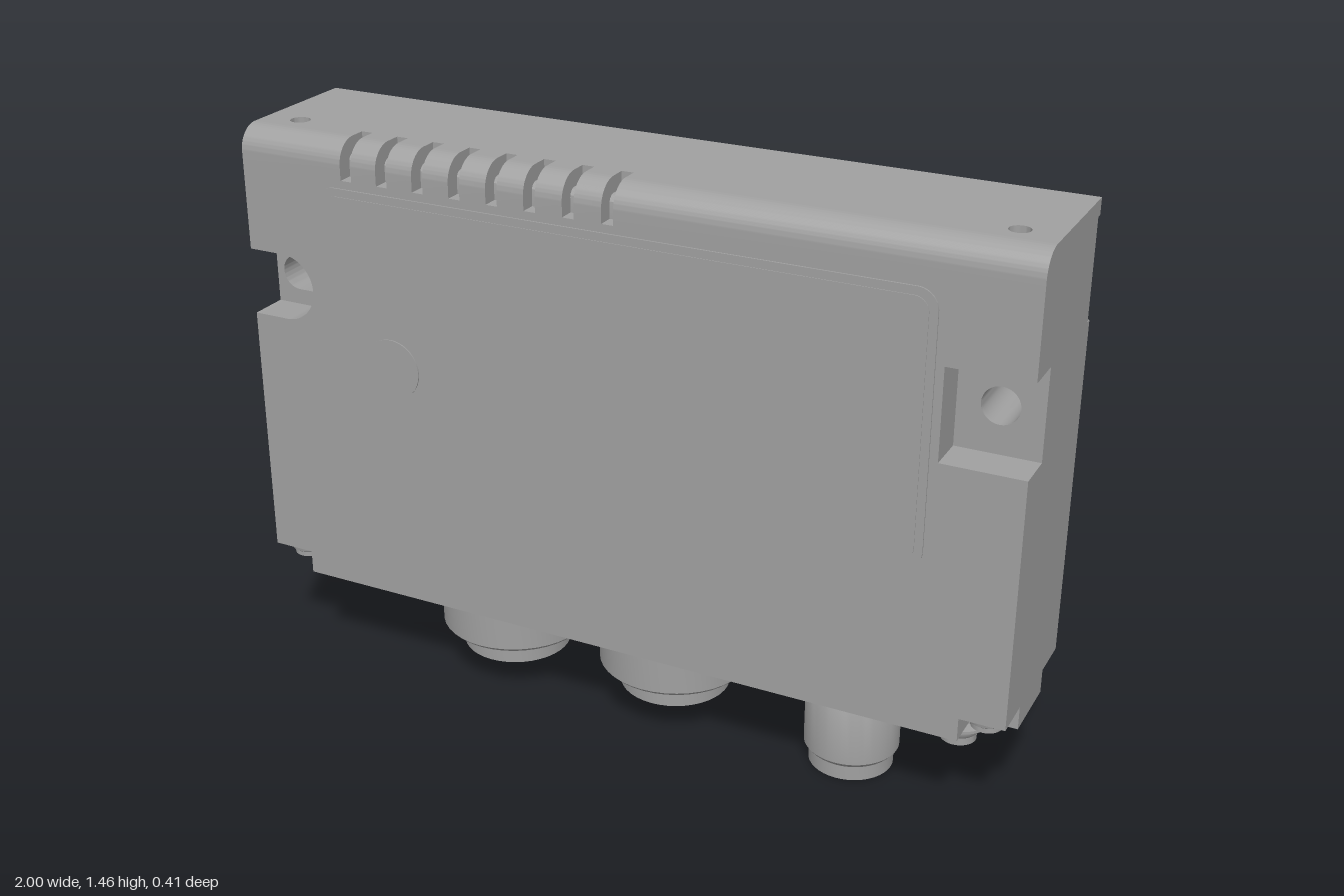
import * as THREE from 'three';
import { toCreasedNormals } from 'three/addons/utils/BufferGeometryUtils.js';

const BOTTOM = 0.26, CAP_BASE = 1.415, TOP = 1.455, HOLE_Y = 1.06;
const SLOTS = Array.from({ length: 8 }, (_, i) => -0.7 + i * 0.1);

export function createModel() {
  const model = new THREE.Group();
  model.name = 'connectorModule';
  const grey = new THREE.MeshStandardMaterial({ color: 0xa0a0a0 });
  grey.name = 'housing grey';

  const add = (name, geo, parent = model) => {
    const mesh = new THREE.Mesh(toCreasedNormals(geo, 0.6), grey);
    mesh.name = name;
    parent.add(mesh);
    return mesh;
  };
  const poly = (pts) => new THREE.Shape(pts.map(([x, y]) => new THREE.Vector2(x, y)));
  const circle = (x, y, r) => new THREE.Shape().absarc(x, y, r, 0, Math.PI * 2);
  const extrude = (shape, depth) =>
    new THREE.ExtrudeGeometry(shape, { depth, bevelEnabled: false, curveSegments: 16 });
  // Extrusions along z, downward along y, and along x (shape drawn as -z, y)
  const alongZ = (shape, z0, z1) => extrude(shape, z1 - z0).translate(0, 0, z0);
  const downY = (shape, top, h) => extrude(shape, h).rotateX(Math.PI / 2).translate(0, top, 0);
  const alongX = (shape, x0, x1) => extrude(shape, x1 - x0).rotateY(Math.PI / 2).translate(x0, 0, 0);
  const lathe = (pts) => new THREE.LatheGeometry(pts.map(([r, y]) => new THREE.Vector2(r, y)), 40);
  const roundRect = (x0, y0, x1, y1, r) => {
    const s = new THREE.Shape();
    s.absarc(x1 - r, y0 + r, r, -Math.PI / 2, 0);
    s.absarc(x1 - r, y1 - r, r, 0, Math.PI / 2);
    s.absarc(x0 + r, y1 - r, r, Math.PI / 2, Math.PI);
    s.absarc(x0 + r, y0 + r, r, Math.PI, Math.PI * 1.5);
    s.closePath();
    return s;
  };
  const roundHole = () => circle(0.9, HOLE_Y, 0.045);
  const longHole = () => roundRect(-0.98, HOLE_Y - 0.045, -0.855, HOLE_Y + 0.045, 0.0449);

  // Housing, stacked in slabs from back to front
  function slab(z0, z1, { top = CAP_BASE, notch = false, recess = false, pocket = false }) {
    const s = new THREE.Shape();
    const line = (pts) => pts.forEach(([x, y]) => s.lineTo(x, y));
    s.moveTo(notch ? -0.89 : -1, BOTTOM);
    line(notch ? [[0.89, BOTTOM], [0.89, 0.32], [1, 0.32]] : [[1, BOTTOM]]);
    if (pocket) line([[1, 0.945], [0.8, 0.945], [0.8, 1.17], [1, 1.17]]);
    line(recess
      ? [[1, 1.17], [0.985, 1.17], [0.985, top], [-0.985, top], [-0.985, 1.17], [-1, 1.17]]
      : [[1, top], [-1, top]]);
    if (pocket) {
      s.lineTo(-1, 1.145);
      s.absarc(-0.905, HOLE_Y, 0.085, Math.PI / 2, -Math.PI / 2, true);
      s.lineTo(-1, 0.975);
    } else s.holes.push(roundHole(), longHole());
    if (notch) line([[-1, 0.32], [-0.89, 0.32]]);
    s.closePath();
    add('housing', alongZ(s, z0, z1));
  }
  slab(-0.2, -0.185, { notch: true, recess: true });
  slab(-0.185, -0.09, { notch: true });
  slab(-0.09, 0.09, {});
  slab(0.09, 0.1, { notch: true });
  slab(0.1, 0.2, { top: 1.36, notch: true, pocket: true });

  // Top cap with screw holes and the rear ends of the vent slots
  const capOutline = [[1, -0.2], [1, 0.14]];
  [...SLOTS].reverse().forEach((x) => capOutline.push(
    [x + 0.015, 0.14], [x + 0.015, 0.1], [x - 0.015, 0.1], [x - 0.015, 0.14]));
  capOutline.push([-1, 0.14], [-1, -0.2]);
  const cap = poly(capOutline);
  cap.holes.push(circle(-0.905, 0.085, 0.025), circle(0.905, 0.085, 0.025));
  add('topCap', downY(cap, TOP, TOP - CAP_BASE));

  // Curved slot floor, and the rounded front edge between the slots
  const floor = new THREE.Shape();
  floor.moveTo(-0.1, 1.36);
  floor.lineTo(-0.1, CAP_BASE);
  floor.absarc(-0.14, 1.395, 0.02, Math.PI / 2, Math.PI);
  floor.lineTo(-0.16, 1.36);
  floor.closePath();
  add('ventFloor', alongX(floor, -1, 1));

  const edge = new THREE.Shape();
  edge.moveTo(-0.14, CAP_BASE);
  edge.lineTo(-0.14, TOP);
  edge.absarc(-0.14, 1.395, 0.06, Math.PI / 2, Math.PI);
  edge.lineTo(-0.2, 1.36);
  edge.lineTo(-0.16, 1.36);
  edge.absarc(-0.14, 1.395, 0.02, Math.PI, Math.PI / 2, true);
  edge.closePath();
  const starts = [-1, ...SLOTS.map((x) => x + 0.015)];
  const ends = [...SLOTS.map((x) => x - 0.015), 1];
  starts.forEach((x, i) => add('roundedTopEdge', alongX(edge, x, ends[i])));

  // Front panel with a stepped rim and a round button
  add('panelRim', alongZ(roundRect(-0.785, 0.675, 0.78, 1.34, 0.05), 0.2, 0.204));
  add('panel', alongZ(roundRect(-0.765, 0.695, 0.76, 1.32, 0.035), 0.204, 0.206));
  add('button', alongZ(circle(-0.595, 0.9, 0.077), 0.206, 0.209));

  // Raised mounting pads on the back
  for (const side of [-1, 1]) {
    const pad = new THREE.Shape();
    pad.moveTo(side * 0.9 + 0.08, 1.44);
    pad.lineTo(side * 0.9 - 0.08, 1.44);
    pad.absarc(side * 0.9, 0.755, 0.08, Math.PI, Math.PI * 2);
    pad.closePath();
    pad.holes.push(side > 0 ? roundHole()
      : roundRect(-0.979, HOLE_Y - 0.045, -0.855, HOLE_Y + 0.045, 0.0449));
    add('mountingPad', alongZ(pad, -0.205, -0.2));
  }

  // Screw head facing down, with a cross recess
  function screwHead(name, x, top, z, r, h) {
    const g = new THREE.Group();
    g.name = name;
    g.position.set(x, top, z);
    const low = -h * 0.65, w = r * 0.14, l = r * 0.5;
    add('screwHead', lathe([[0, low], [r * 0.8, low], [r * 0.95, low + h * 0.15], [r, low + h * 0.35], [r, 0]]), g);
    const face = circle(0, 0, r * 0.8);
    face.holes.push(poly([[w, w], [l, w], [l, -w], [w, -w], [w, -l], [-w, -l],
      [-w, -w], [-l, -w], [-l, w], [-w, w], [-w, l], [w, l]]));
    add('screwFace', downY(face, low, h * 0.35), g);
    model.add(g);
  }
  for (const x of [-0.94, 0.94])
    for (const z of [-0.14, 0.14]) screwHead('cornerScrew', x, 0.32, z, 0.047, 0.035);

  // Grounding screw with washer
  add('groundStud', new THREE.CylinderGeometry(0.048, 0.048, 0.06, 32).translate(0.84, 0.235, 0.02));
  add('groundWasher', new THREE.CylinderGeometry(0.08, 0.08, 0.007, 40).translate(0.84, 0.213, 0.02));
  screwHead('groundScrew', 0.84, 0.21, 0.02, 0.055, 0.055);

  // Round insert with a ring of contact holes and one in the middle
  function insert(x, r, bottom, h, n, centre) {
    const s = circle(0, 0, r);
    for (let i = 0; i < n; i++) {
      const a = (i + 0.5) / n * Math.PI * 2;
      s.holes.push(circle(Math.cos(a) * r * 0.55, Math.sin(a) * r * 0.55, r * 0.15));
    }
    if (centre) s.holes.push(circle(0, 0, r * 0.15));
    add('contactInsert', downY(s, bottom + h, h).translate(x, 0, 0));
  }

  // Small socket
  add('smallSocket', lathe([[0, 0.245], [0.075, 0.245], [0.075, 0.215], [0.11, 0.215],
    [0.115, 0.22], [0.115, BOTTOM]]).translate(-0.775, 0, 0));
  insert(-0.775, 0.062, 0.222, 0.03, 4, false);

  // Two large sockets
  for (const x of [-0.385, 0.08]) {
    add('largeSocket', lathe([[0, 0.14], [0.108, 0.14], [0.108, 0.095], [0.14, 0.095], [0.14, 0.155],
      [0.183, 0.155], [0.193, 0.165], [0.193, BOTTOM]]).translate(x, 0, 0));
    insert(x, 0.08, 0.075, 0.065, 4, true);
  }

  // Hollow plug with pins
  add('plug', lathe([[0, 0.09], [0.088, 0.09], [0.088, 0], [0.105, 0], [0.105, 0.038],
    [0.11, 0.042], [0.118, 0.052], [0.118, 0.25], [0.112, BOTTOM]]).translate(0.565, 0, 0));
  for (let i = 0; i < 4; i++) {
    const a = (i + 0.5) * Math.PI / 2;
    add('plugPin', new THREE.CylinderGeometry(0.012, 0.01, 0.075, 12)
      .translate(0.565 + Math.cos(a) * 0.048, 0.055, Math.sin(a) * 0.048));
  }

  return model;
}
